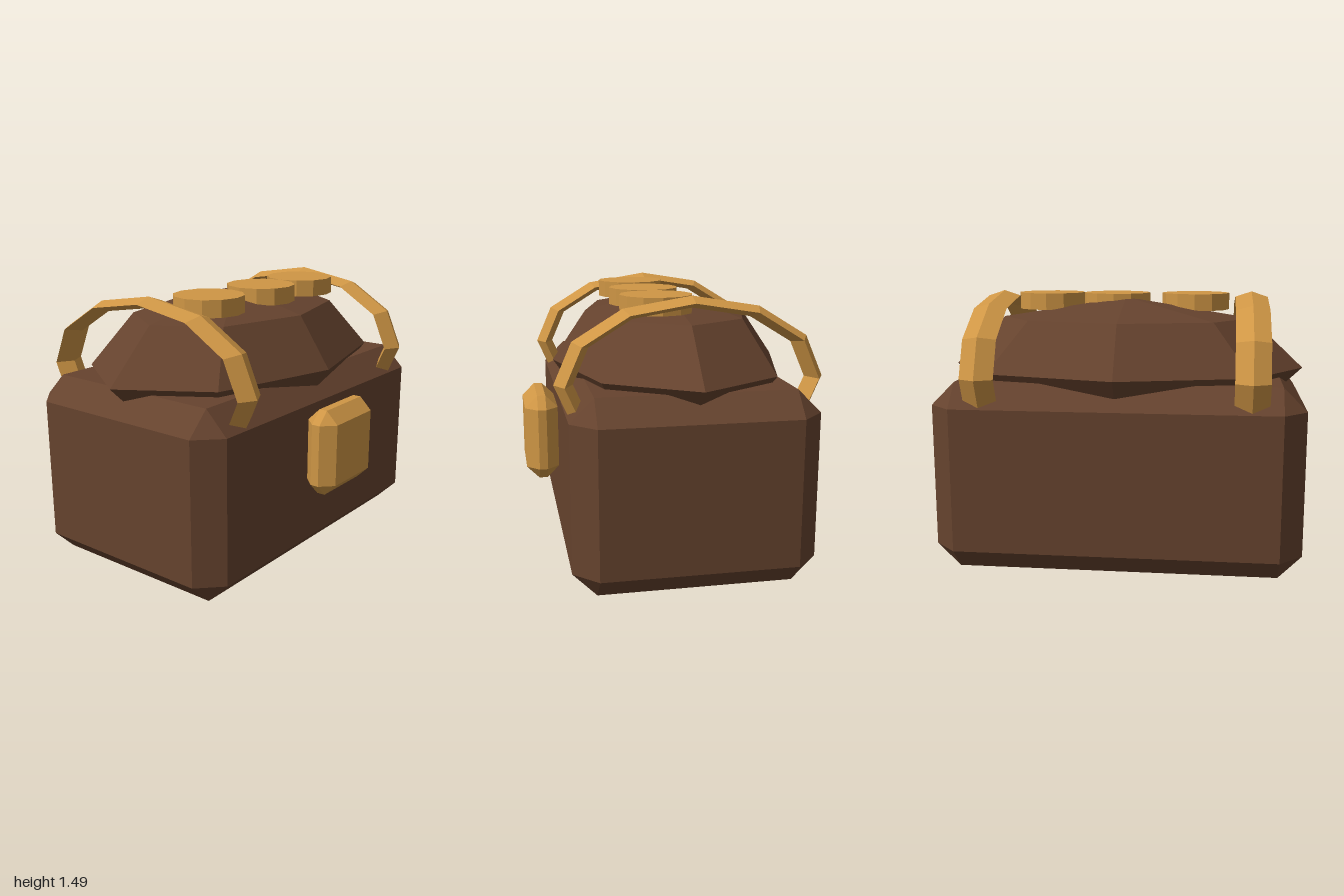
import * as THREE from 'three';
import { ConvexGeometry } from 'three/addons/geometries/ConvexGeometry.js';

// Box with every edge cut at 45 degrees
function chamferBox(w, h, d, c) {
  const points = [];
  for (const sx of [-1, 1]) for (const sy of [-1, 1]) for (const sz of [-1, 1]) {
    const x = w / 2, y = h / 2, z = d / 2;
    points.push(
      new THREE.Vector3(sx * x, sy * (y - c), sz * (z - c)),
      new THREE.Vector3(sx * (x - c), sy * y, sz * (z - c)),
      new THREE.Vector3(sx * (x - c), sy * (y - c), sz * z)
    );
  }
  return new ConvexGeometry(points);
}

export function createModel() {
  const group = new THREE.Group();
  const leather = new THREE.MeshStandardMaterial({ name: 'brown leather', color: 0x66432e, flatShading: true });
  const gold = new THREE.MeshStandardMaterial({ name: 'gold', color: 0xcf9645, flatShading: true });

  function add(name, geometry, material, x, y, z) {
    const mesh = new THREE.Mesh(geometry, material);
    mesh.name = name;
    mesh.position.set(x, y, z);
    group.add(mesh);
    return mesh;
  }

  const midZ = -0.06;

  // Chest body and rounded low-poly lid
  add('body', chamferBox(1.98, 1.025, 1.275, 0.125), leather, 0, 0.5125, midZ);
  add('lid', new THREE.SphereGeometry(1, 8, 4).scale(1, 0.39, 0.645), leather, 0, 1.06, midZ);

  // Clasp on the front
  add('clasp', chamferBox(0.48, 0.475, 0.182, 0.068), gold, 0, 0.652, 0.667);

  // Diamond-section hoops over the lid, sunk into the body
  const hoop = new THREE.TorusGeometry(0.93, 0.07, 4, 12)
    .rotateY(Math.PI / 2)
    .scale(0.09 / 0.07, 0.425, 0.695);
  add('leftStrap', hoop, gold, 0.705, 1.06, midZ);
  add('rightStrap', hoop, gold, -0.705, 1.06, midZ);

  // Three coins lying on top
  const coin = new THREE.CylinderGeometry(0.193, 0.193, 0.093, 12);
  [-0.39, 0.067, 0.452].forEach((x, i) => add('coin' + (i + 1), coin, gold, x, 1.423, 0.073));

  return group;
}
